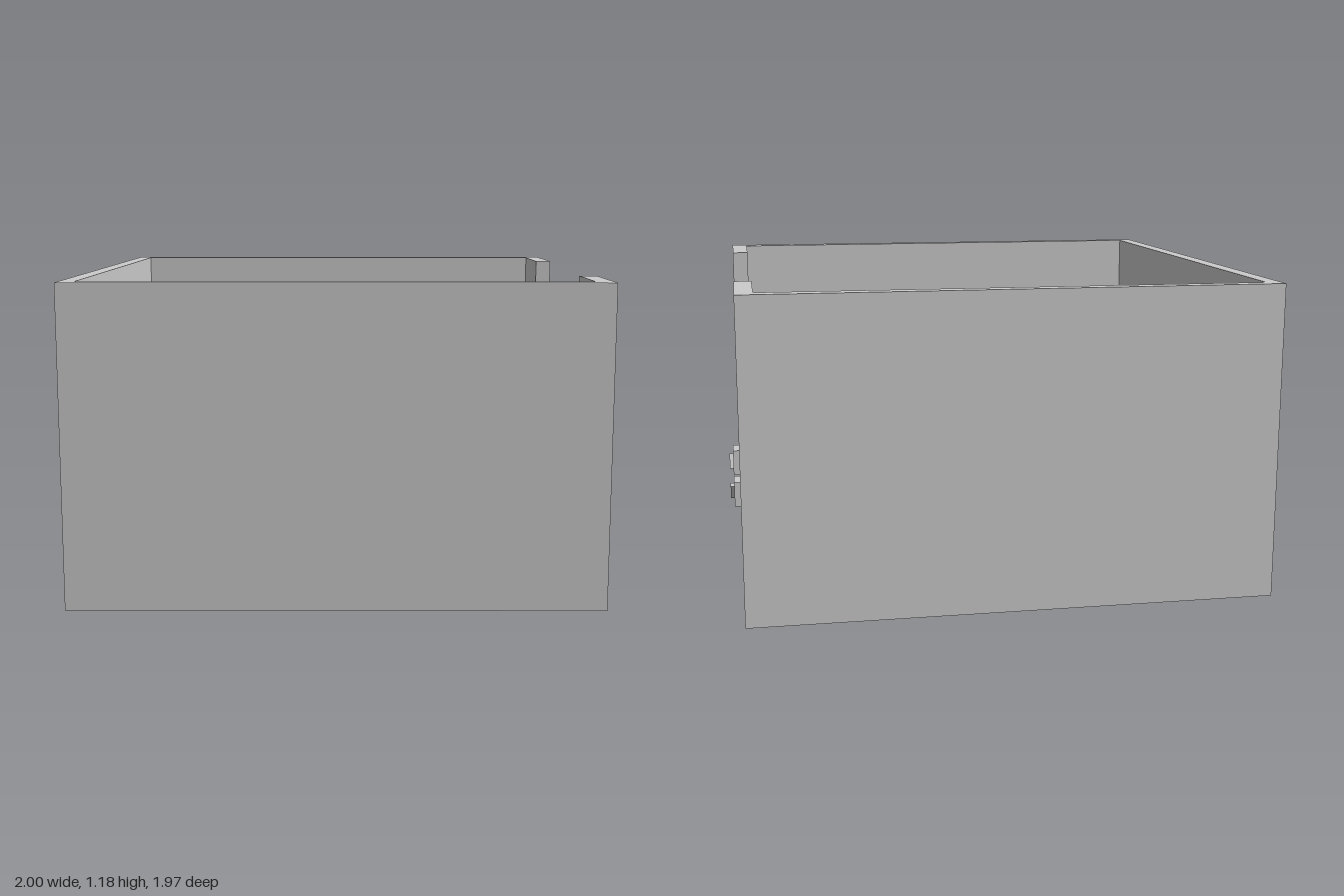
import * as THREE from 'three';

const material = new THREE.MeshStandardMaterial({ color: 0xcccccc, flatShading: true });
const skirtMaterial = new THREE.MeshStandardMaterial({ color: 0xcccccc, flatShading: true, side: THREE.DoubleSide });

// Outer limits of the cabin
const X0 = -1, X1 = 0.965, Z0 = -0.985, Z1 = 0.98;
const FLOOR = 0.04, TOP = 1.185;
const CX = (X0 + X1) / 2, CZ = (Z0 + Z1) / 2;

function add(parent, name, geometry, mat = material) {
  const mesh = new THREE.Mesh(geometry, mat);
  mesh.name = name;
  parent.add(mesh);
  return mesh;
}

// Raises a plan outline of [x, z] points from y0 to y1
function raisePlan(points, y0, y1) {
  const shape = new THREE.Shape(points.map(([x, z]) => new THREE.Vector2(x, -z)));
  return new THREE.ExtrudeGeometry(shape, { depth: y1 - y0, bevelEnabled: false })
    .rotateX(-Math.PI / 2)
    .translate(0, y0, 0);
}

export function createModel() {
  const cabin = new THREE.Group();
  cabin.name = 'liftCabin';

  // Walls: one C-shaped outline, open at the doorway
  add(cabin, 'walls', raisePlan([
    [X1, 0.573], [X1, Z1], [X0, Z1], [X0, Z0], [X1, Z0], [X1, -0.573],
    [0.9, -0.573], [0.9, -0.925], [-0.943, -0.935],
    [-0.943, 0.93], [0.9, 0.92], [0.9, 0.573],
  ], FLOOR, TOP));

  // Floor panel, with a thin skirt below that leaves the underside recessed
  const floor = add(cabin, 'floor', new THREE.BoxGeometry(X1 - X0, 0.006, Z1 - Z0));
  floor.position.set(CX, FLOOR - 0.003, CZ);
  const skirtHeight = FLOOR - 0.006, radius = (X1 - X0) / Math.SQRT2;
  const skirt = add(cabin, 'skirt',
    new THREE.CylinderGeometry(radius, radius, skirtHeight, 4, 1, true).rotateY(Math.PI / 4),
    skirtMaterial);
  skirt.position.set(CX, skirtHeight / 2, CZ);

  // Handrail round three walls, its ends turning in to meet the walls
  add(cabin, 'handrail', raisePlan([
    [0.825, -0.925], [0.775, -0.925], [0.775, -0.847], [-0.78, -0.857],
    [-0.907, -0.74], [-0.907, 0.735], [-0.78, 0.85], [0.775, 0.838],
    [0.775, 0.921], [0.825, 0.921], [0.825, 0.79], [-0.74, 0.802],
    [-0.86, 0.68], [-0.86, -0.685], [-0.74, -0.808], [0.825, -0.8],
  ], 0.395, 0.47));

  // Call buttons: square plates with raised up and down arrows
  const arrow = new THREE.Shape([[-0.025, -0.025], [0.025, -0.025], [0, 0.025]]
    .map(([x, y]) => new THREE.Vector2(x, y)));
  for (const [name, y, turn] of [['upButton', 0.55, 0], ['downButton', 0.432, Math.PI]]) {
    const button = new THREE.Group();
    button.name = name;
    add(button, 'plate', new THREE.BoxGeometry(0.09, 0.09, 0.022).translate(0, 0, 0.011));
    const mark = add(button, 'arrow',
      new THREE.ExtrudeGeometry(arrow, { depth: 0.013, bevelEnabled: false }));
    mark.position.z = 0.022;
    mark.rotation.z = turn;
    button.position.set(X1, y, -0.722);
    button.rotation.y = Math.PI / 2;
    cabin.add(button);
  }

  return cabin;
}
